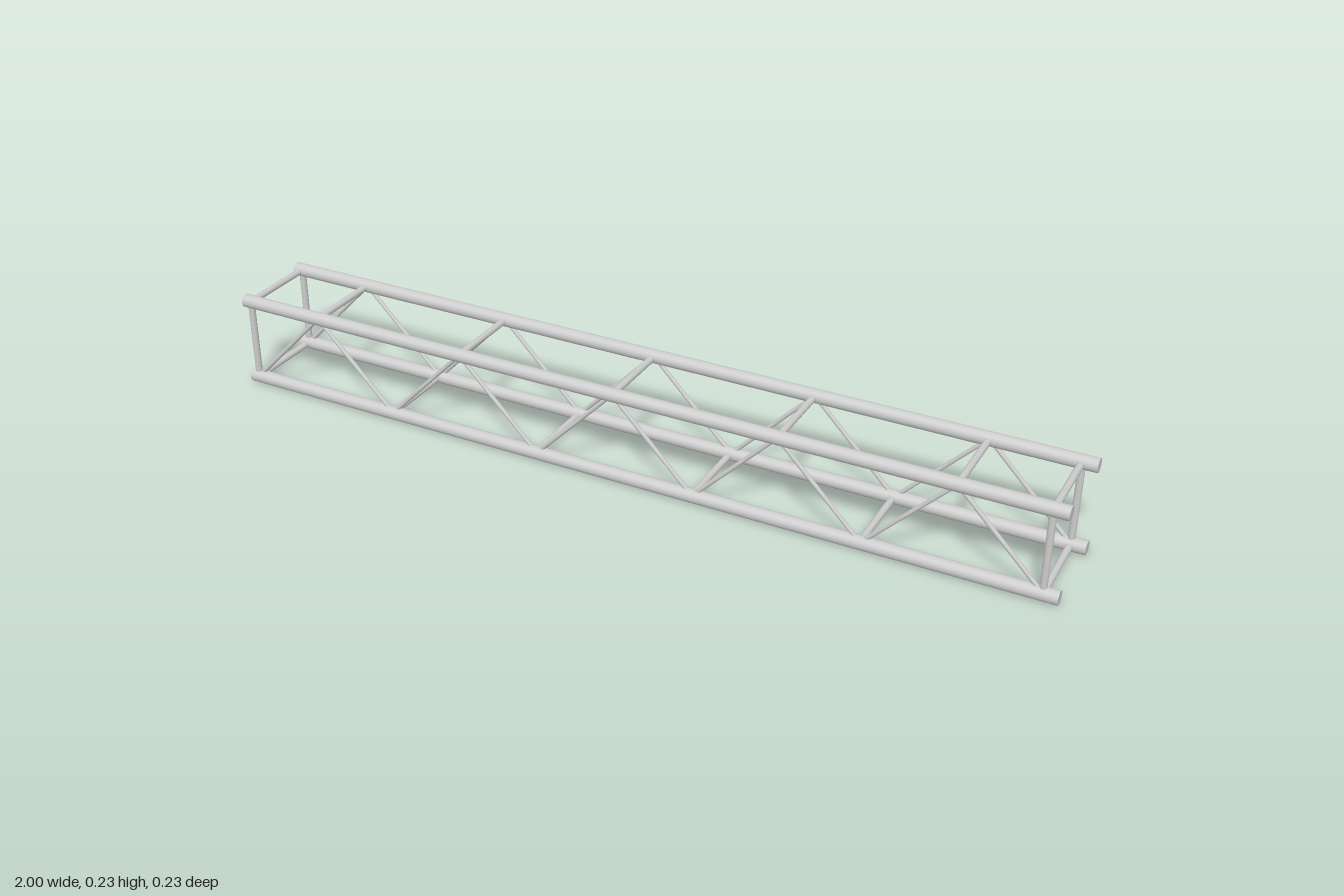
import * as THREE from 'three';

const CHORD_R = 0.016, BAR_R = 0.008, BRACE_R = 0.005;
const LOW = CHORD_R, HIGH = LOW + 0.2, HALF = 0.1;
const START = -0.985, STEP = 0.195, BAYS = 10;

export function createModel() {
  const group = new THREE.Group();
  const material = new THREE.MeshStandardMaterial({ color: 0xcccccc });
  const up = new THREE.Vector3(0, 1, 0);

  // Round tube between two points
  function tube(name, from, to, radius, sides) {
    const a = new THREE.Vector3(...from), b = new THREE.Vector3(...to);
    const dir = b.clone().sub(a);
    const mesh = new THREE.Mesh(new THREE.CylinderGeometry(radius, radius, dir.length(), sides), material);
    mesh.name = name;
    mesh.position.copy(a).add(b).multiplyScalar(0.5);
    mesh.quaternion.setFromUnitVectors(up, dir.normalize());
    group.add(mesh);
  }

  const nodeX = (i) => START + i * STEP;
  const nodeY = (i) => (i % 2 ? HIGH : LOW);

  for (const z of [HALF, -HALF]) {
    // Long main chords
    for (const y of [LOW, HIGH]) tube('mainChord', [-1, y, z], [1, y, z], CHORD_R, 24);
    // Upright posts at both ends
    for (const i of [0, BAYS]) tube('endPost', [nodeX(i), LOW, z], [nodeX(i), HIGH, z], BAR_R, 16);
    // Zigzag side braces
    for (let i = 0; i < BAYS; i++) {
      tube('diagonalBrace', [nodeX(i), nodeY(i), z], [nodeX(i + 1), nodeY(i + 1), z], BRACE_R, 12);
    }
  }

  // Cross bars at every zigzag node
  for (let i = 0; i <= BAYS; i++) {
    tube('crossBar', [nodeX(i), nodeY(i), -HALF], [nodeX(i), nodeY(i), HALF], BAR_R, 16);
  }
  // Upper cross bars closing the end frames
  for (const i of [0, BAYS]) tube('endCrossBar', [nodeX(i), HIGH, -HALF], [nodeX(i), HIGH, HALF], BAR_R, 16);

  return group;
}
